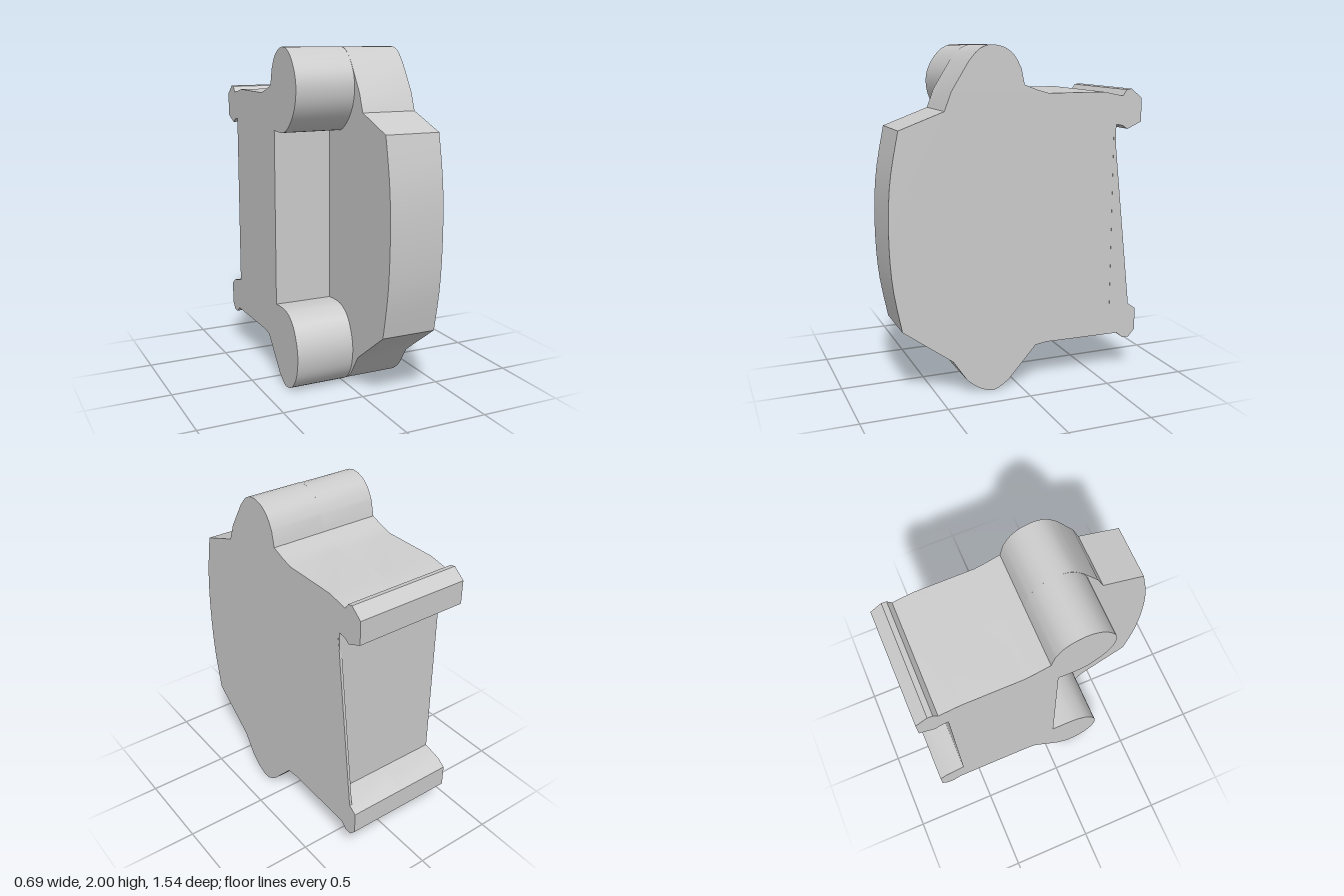
import * as THREE from 'three';
import { toCreasedNormals } from 'three/addons/utils/BufferGeometryUtils.js';

const material = new THREE.MeshStandardMaterial({ color: 0xcccccc });

// Extrude a [z, y] side outline along x, from x0 to x1.
function slab(name, points, x0, x1) {
  const shape = new THREE.Shape(points.map(([z, y]) => new THREE.Vector2(-z, y)));
  const geometry = new THREE.ExtrudeGeometry(shape, { depth: x1 - x0, bevelEnabled: false });
  geometry.rotateY(Math.PI / 2).translate(x0, 0, 0);
  const mesh = new THREE.Mesh(toCreasedNormals(geometry, 0.5), material);
  mesh.name = name;
  return mesh;
}

// Smooth curve through a few [z, y] points.
function smooth(points, divisions) {
  const curve = new THREE.SplineCurve(points.map(([z, y]) => new THREE.Vector2(z, y)));
  return curve.getPoints(divisions).map((p) => [p.x, p.y]);
}

export function createModel() {
  const group = new THREE.Group();
  group.name = 'housing';

  // Rear outline shared by both halves: top edge, upper hook, back, lower hook, bottom edge
  const rear = [
    [-0.02, 1.78], [-0.1, 1.75], [-0.17, 1.73], [-0.52, 1.73], [-0.645, 1.705],
    [-0.67, 1.74], [-0.7, 1.745], [-0.77, 1.69], [-0.77, 1.55], [-0.68, 1.51],
    [-0.65, 1.53], [-0.605, 1.54],
    [-0.605, 0.46], [-0.72, 0.43], [-0.77, 0.395], [-0.77, 0.26], [-0.73, 0.215],
    [-0.69, 0.215], [-0.645, 0.25], [-0.17, 0.255], [-0.1, 0.245],
  ];

  // Left half: full outline with the curved front bulge
  const bulge = smooth([[0.71, 0.425], [0.76, 0.7], [0.775, 1], [0.76, 1.28], [0.71, 1.55]], 14);
  const lowerLeft = smooth([[0.07, 0.055], [0.13, 0.015], [0.18, 0.002], [0.26, 0.03], [0.33, 0.085]], 12);
  const upperLeft = smooth([[0.31, 1.91], [0.25, 1.975], [0.18, 2], [0.1, 1.985], [0.04, 1.94], [0, 1.87]], 14);
  group.add(slab('frontBulgeHalf', [
    ...rear, ...lowerLeft, [0.415, 0.21], ...bulge, [0.45, 1.645], [0.41, 1.75], ...upperLeft,
  ], 0.01, 0.34));

  // Right half: flat recessed front between two rounded lugs
  const lowerLug = smooth([
    [0.07, 0.055], [0.13, 0.015], [0.18, 0.002], [0.26, 0.03], [0.325, 0.11], [0.35, 0.22],
    [0.335, 0.32], [0.28, 0.42], [0.2, 0.47], [0.12, 0.48], [0.03, 0.475],
  ], 30);
  const upperLug = smooth([
    [0.03, 1.525], [0.12, 1.52], [0.2, 1.535], [0.28, 1.6], [0.335, 1.69], [0.35, 1.79],
    [0.325, 1.88], [0.26, 1.965], [0.18, 2], [0.1, 1.985], [0.04, 1.94], [0, 1.87],
  ], 32);
  group.add(slab('lugHalf', [...rear, ...lowerLug, ...upperLug], -0.345, 0.01));

  // Thin tapered fin along the left edge of the back
  group.add(slab('backFin', [[-0.59, 1.53], [-0.605, 1.42], [-0.72, 0.43], [-0.59, 0.43]], 0.325, 0.341));

  return group;
}
